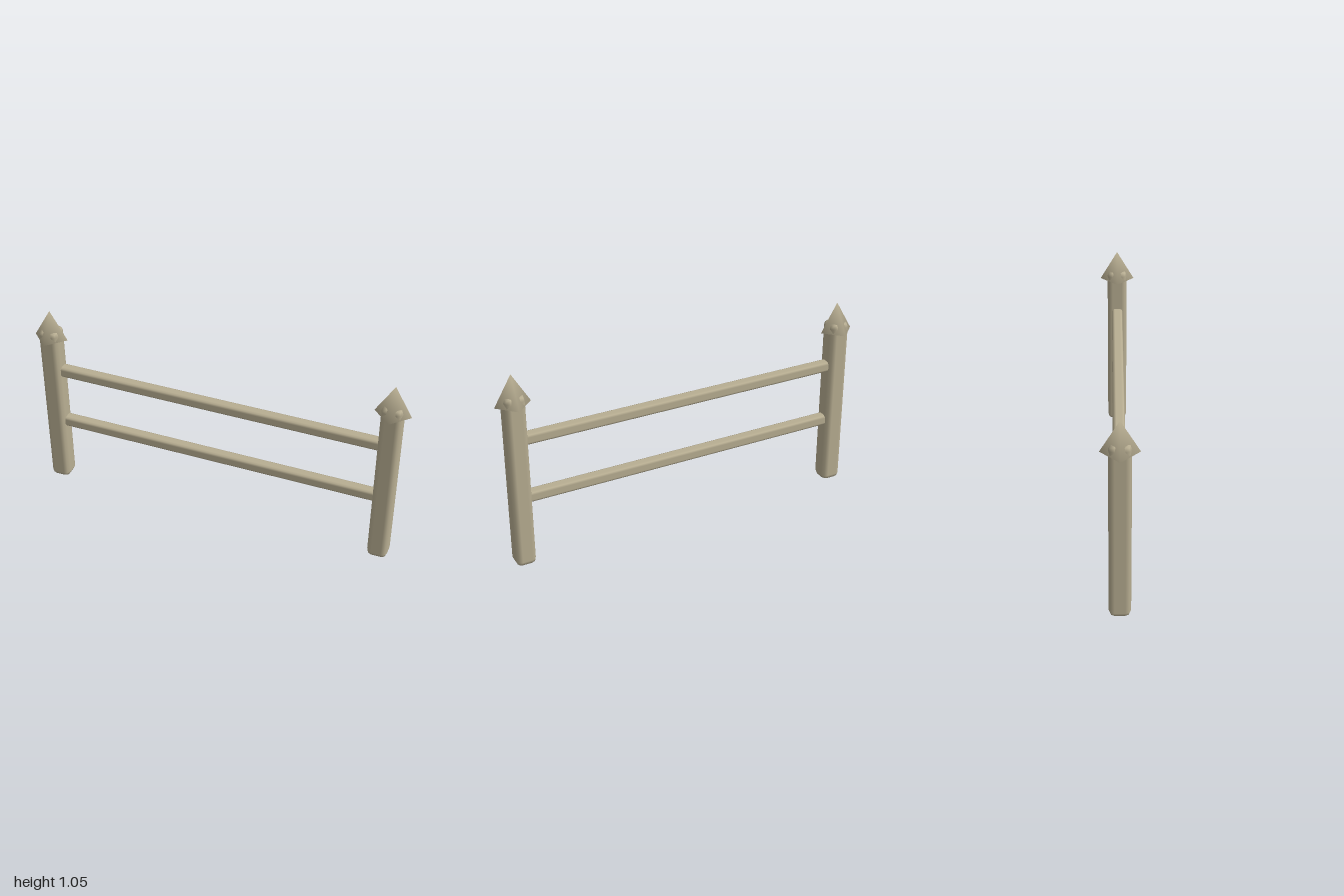
import * as THREE from 'three';
import { mergeVertices } from 'three/addons/utils/BufferGeometryUtils.js';
import { RoundedBoxGeometry } from 'three/addons/geometries/RoundedBoxGeometry.js';

const POST_X = 0.908;
const wood = new THREE.MeshStandardMaterial({ color: 0xb8ae92 });
wood.name = 'weathered wood';

function addMesh(parent, name, geometry, x, y) {
  const mesh = new THREE.Mesh(geometry, wood);
  mesh.name = name;
  mesh.position.set(x, y, 0);
  parent.add(mesh);
}

// Four-sided pyramid with soft normals shared between sides and base
function spikeGeometry(radius, height) {
  const cone = new THREE.ConeGeometry(radius, height, 4);
  cone.deleteAttribute('normal');
  cone.deleteAttribute('uv');
  const spike = mergeVertices(cone, 1e-4);
  spike.computeVertexNormals();
  return spike;
}

export function createModel() {
  const fence = new THREE.Group();
  fence.name = 'fence';

  const post = new RoundedBoxGeometry(0.106, 0.95, 0.106, 1, 0.028);
  const spike = spikeGeometry(0.092, 0.157);
  const rail = new RoundedBoxGeometry(1.8, 0.058, 0.058, 1, 0.015);

  // Posts with pointed caps; the post corners poke through the caps
  for (const [side, s] of [['left', 1], ['right', -1]]) {
    const group = new THREE.Group();
    group.name = side + 'Post';
    group.position.x = s * POST_X;
    addMesh(group, side + 'PostShaft', post, 0, 0.475);
    addMesh(group, side + 'PostCap', spike, 0, 0.9735);
    fence.add(group);
  }

  // Horizontal rails, ending inside the posts
  addMesh(fence, 'upperRail', rail, 0, 0.699);
  addMesh(fence, 'lowerRail', rail, 0, 0.376);

  return fence;
}
